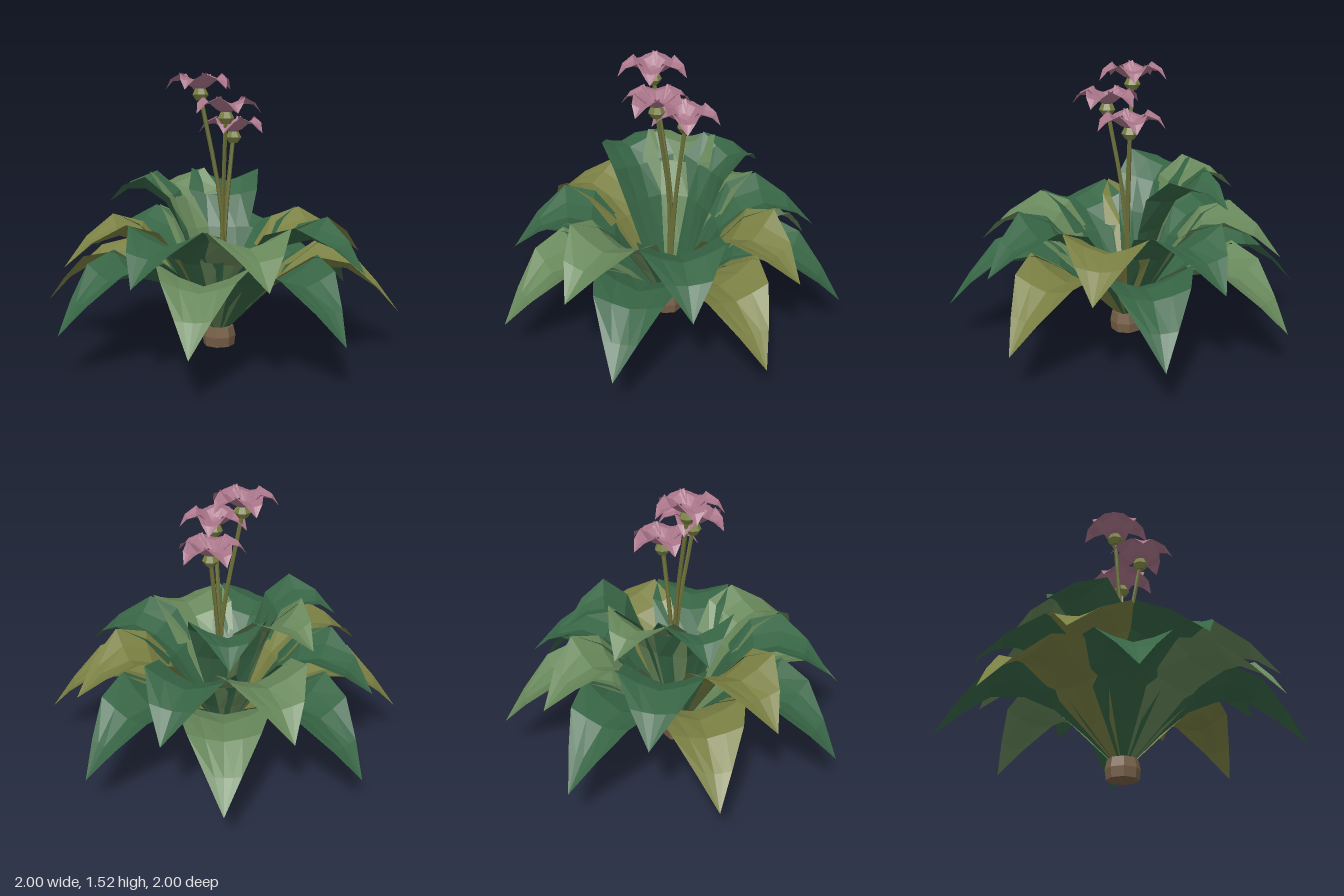
import * as THREE from 'three';

const mat = (name, color) => {
  const m = new THREE.MeshStandardMaterial({ color, flatShading: true, side: THREE.DoubleSide });
  m.name = name;
  return m;
};

// Channelled blade along +x. Each row is [reach, height, half width, channel depth].
function bladeGeometry(rows) {
  const across = [-1, -0.5, 0, 0.5, 1];
  const n = across.length;
  const pos = [], idx = [];
  rows.forEach(([r, y, w, depth], i) => {
    const a = rows[Math.max(i - 1, 0)], b = rows[Math.min(i + 1, rows.length - 1)];
    const dr = b[0] - a[0], dy = b[1] - a[1], len = Math.hypot(dr, dy);
    for (const u of across) {
      const lift = depth * Math.abs(u) ** 1.4;
      pos.push(r - (dy / len) * lift, y + (dr / len) * lift, u * w);
    }
    if (i === 0) return;
    for (let j = 0; j < n - 1; j++) {
      const p = (i - 1) * n + j, q = i * n + j;
      idx.push(p, p + 1, q);
      if (i < rows.length - 1) idx.push(p + 1, q + 1, q);
    }
  });
  const g = new THREE.BufferGeometry();
  g.setAttribute('position', new THREE.Float32BufferAttribute(pos, 3));
  g.setIndex(idx);
  g.computeVertexNormals();
  return g;
}

export function createModel() {
  const model = new THREE.Group();
  model.name = 'floweringRosette';

  const dark = mat('darkGreen', 0x376545);
  const light = mat('lightGreen', 0x67875a);
  const olive = mat('olive', 0x7a8043);
  const pink = mat('petalPink', 0xa87488);
  const brown = mat('rootBrown', 0x765f47);
  const stemGreen = mat('stemGreen', 0x6b7038);

  const add = (parent, name, geometry, material) => {
    const mesh = new THREE.Mesh(geometry, material);
    mesh.name = name;
    parent.add(mesh);
    return mesh;
  };
  const lathe = (points, sides) =>
    new THREE.LatheGeometry(points.map(([x, y]) => new THREE.Vector2(x, y)), sides);

  // Root stump
  add(model, 'rootStump', lathe([[0, 0], [0.088, 0], [0.095, 0.055], [0.083, 0.11], [0, 0.11]], 8), brown);

  // Three tiers of leaves, each turned a little from the last
  const tiers = [
    { name: 'lowerLeaf', from: 0, to: 8, rows: [
      [0.05, 0.1, 0.03, 0], [0.2, 0.26, 0.11, 0.008], [0.38, 0.405, 0.2, 0.05], [0.55, 0.46, 0.25, 0.11],
      [0.71, 0.46, 0.185, 0.065], [0.87, 0.36, 0.088, 0.015], [1, 0.22, 0, 0]] },
    { name: 'middleLeaf', from: 0, to: 8, rows: [
      [0.04, 0.1, 0.03, 0], [0.16, 0.31, 0.1, 0.008], [0.3, 0.51, 0.18, 0.042], [0.43, 0.61, 0.22, 0.09],
      [0.56, 0.65, 0.22, 0.09], [0.71, 0.61, 0.12, 0.03], [0.86, 0.49, 0, 0]] },
    { name: 'innerLeaf', from: 4, to: 7, rows: [
      [0.03, 0.1, 0.03, 0], [0.11, 0.38, 0.1, 0], [0.2, 0.64, 0.16, 0.028], [0.3, 0.81, 0.2, 0.072],
      [0.41, 0.885, 0.2, 0.09], [0.51, 0.885, 0.1, 0.03], [0.62, 0.81, 0, 0]] },
  ];
  const leafColours = [dark, olive, dark, light];
  tiers.forEach(({ name, from, to, rows }, t) => {
    const geometry = bladeGeometry(rows);
    for (let k = from; k < to; k++) {
      const leaf = add(model, name, geometry, leafColours[(k + t) % 4]);
      leaf.rotation.y = -(k * Math.PI / 4 + t * 0.37);
    }
  });

  // Flowers: head position, a point the stem passes through, petal phase
  const petal = bladeGeometry([
    [0.004, 0.018, 0.006, 0], [0.05, 0.038, 0.045, 0.015], [0.1, 0.072, 0.08, 0.042],
    [0.15, 0.068, 0.045, 0.012], [0.192, 0.022, 0, 0]]);
  const bud = lathe([[0, -0.037], [0.024, -0.036], [0.046, -0.005], [0.03, 0.028], [0, 0.015]], 7);
  const flowers = [
    { head: [-0.09, 1.41, -0.05], mid: [0.02, 0.74, 0], phase: 7 },
    { head: [-0.03, 1.285, 0.1], mid: [0.015, 0.74, 0.015], phase: 36 },
    { head: [0.1, 1.175, 0], mid: [0.05, 0.74, 0], phase: 0 },
  ];
  for (const { head, mid, phase } of flowers) {
    const path = new THREE.CatmullRomCurve3(
      [[0.01, 0.1, 0], mid, head].map((p) => new THREE.Vector3(...p)));
    add(model, 'flowerStem', new THREE.TubeGeometry(path, 8, 0.012, 6), stemGreen);

    const flower = new THREE.Group();
    flower.name = 'flower';
    flower.position.set(...head);
    add(flower, 'bud', bud, olive);
    for (let i = 0; i < 5; i++) {
      add(flower, 'petal', petal, pink).rotation.y = -THREE.MathUtils.degToRad(phase + i * 72);
    }
    model.add(flower);
  }
  return model;
}
